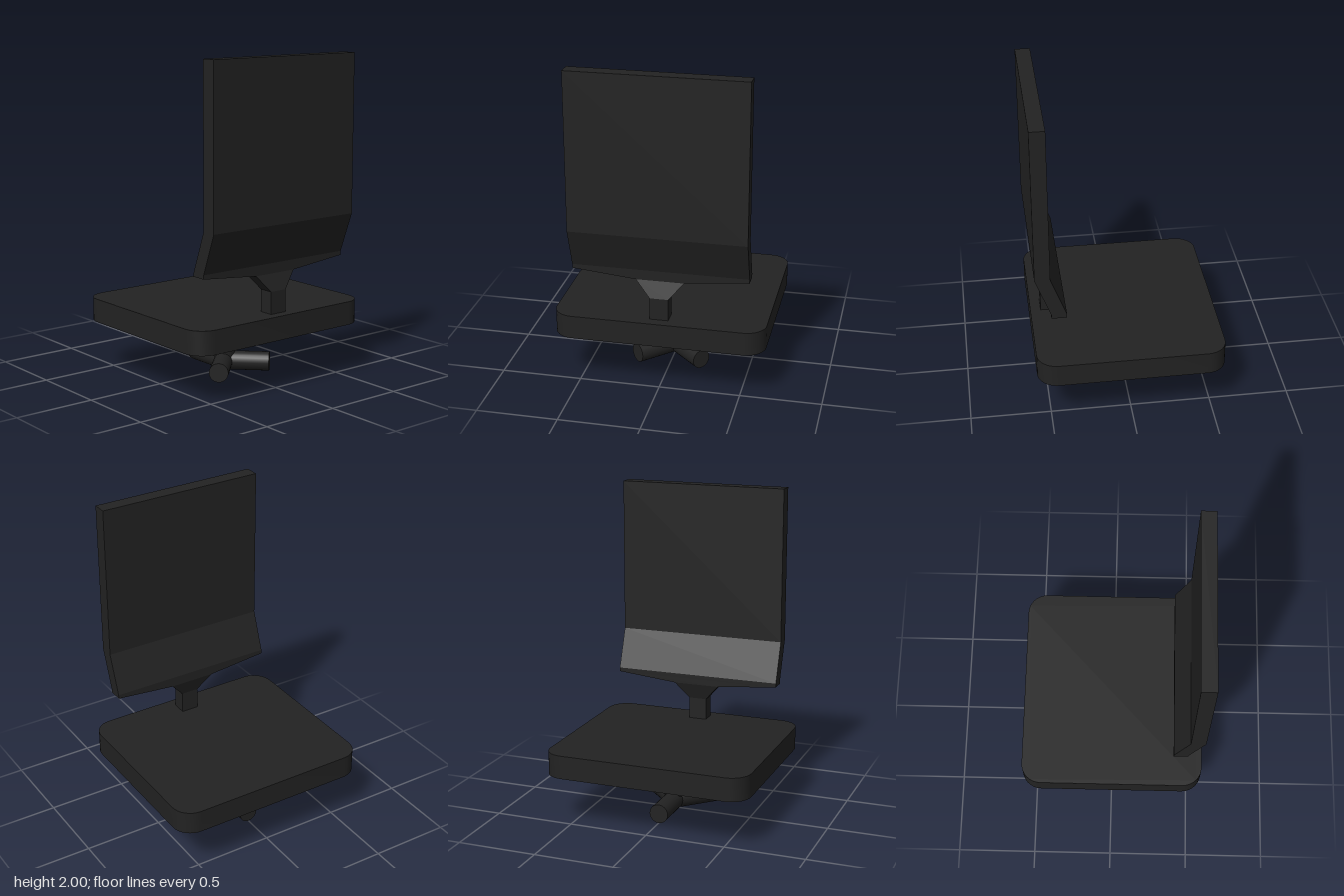
import * as THREE from 'three';
import { toCreasedNormals } from 'three/addons/utils/BufferGeometryUtils.js';

const dark = new THREE.MeshStandardMaterial({ color: 0x222222 });

function part(name, geometry) {
  const mesh = new THREE.Mesh(geometry, dark);
  mesh.name = name;
  return mesh;
}

// Slab with rounded corners, lying flat with its underside at y
function roundedSlab(w, d, y, height, r) {
  const x = w / 2 - r, z = d / 2 - r, q = Math.PI / 2;
  const shape = new THREE.Shape();
  [[x, z], [-x, z], [-x, -z], [x, -z]].forEach(([cx, cz], i) =>
    shape.absarc(cx, cz, r, i * q, (i + 1) * q, false));
  const geometry = new THREE.ExtrudeGeometry(shape, { depth: height, bevelEnabled: false, curveSegments: 4 });
  geometry.rotateX(-Math.PI / 2).translate(0, y, 0);
  return toCreasedNormals(geometry, 0.6);
}

// Bent panel lofted through rows of [y, half width, front z], top to bottom
function bentPanel(rows, thickness, cx) {
  const positions = [], index = [];
  rows.forEach(([y, hw, z], r) => {
    const back = z - thickness;
    positions.push(cx - hw, y, z, cx + hw, y, z, cx + hw, y, back, cx - hw, y, back);
    if (r === rows.length - 1) return;
    for (let i = 0; i < 4; i++) {
      const a = r * 4 + i, b = r * 4 + (i + 1) % 4;
      index.push(a, a + 4, b + 4, a, b + 4, b);
    }
  });
  const e = (rows.length - 1) * 4;
  index.push(0, 1, 2, 0, 2, 3, e, e + 2, e + 1, e, e + 3, e + 2);
  const indexed = new THREE.BufferGeometry();
  indexed.setAttribute('position', new THREE.Float32BufferAttribute(positions, 3));
  indexed.setIndex(index);
  const geometry = indexed.toNonIndexed();
  geometry.computeVertexNormals();
  return geometry;
}

export function createModel() {
  const chair = new THREE.Group();
  chair.name = 'chair';

  chair.add(part('seat', roundedSlab(1.3, 1.16, 0.32, 0.147, 0.125)));

  // Backrest narrows into a neck and a stem that meets the seat
  chair.add(part('backrest', bentPanel([
    [2, 0.54, 0.575],
    [1.02, 0.54, 0.575],
    [0.77, 0.54, 0.482],
    [0.745, 0.54, 0.482],
    [0.707, 0.148, 0.482],
    [0.605, 0.057, 0.515],
    [0.46, 0.057, 0.515],
  ], 0.093, 0.004)));

  // Central post
  const post = part('post', new THREE.CylinderGeometry(0.073, 0.073, 0.23, 24));
  post.position.y = 0.21;
  chair.add(post);

  // Three round feet: two forward on the diagonals, one straight back
  const foot = new THREE.CylinderGeometry(0.06, 0.06, 0.29, 24)
    .rotateX(Math.PI / 2).translate(0, 0.06, 0.145);
  [['leftFoot', Math.PI / 4], ['rightFoot', -Math.PI / 4], ['backFoot', Math.PI]].forEach(([name, angle]) => {
    const mesh = part(name, foot);
    mesh.rotation.y = angle;
    chair.add(mesh);
  });

  return chair;
}
